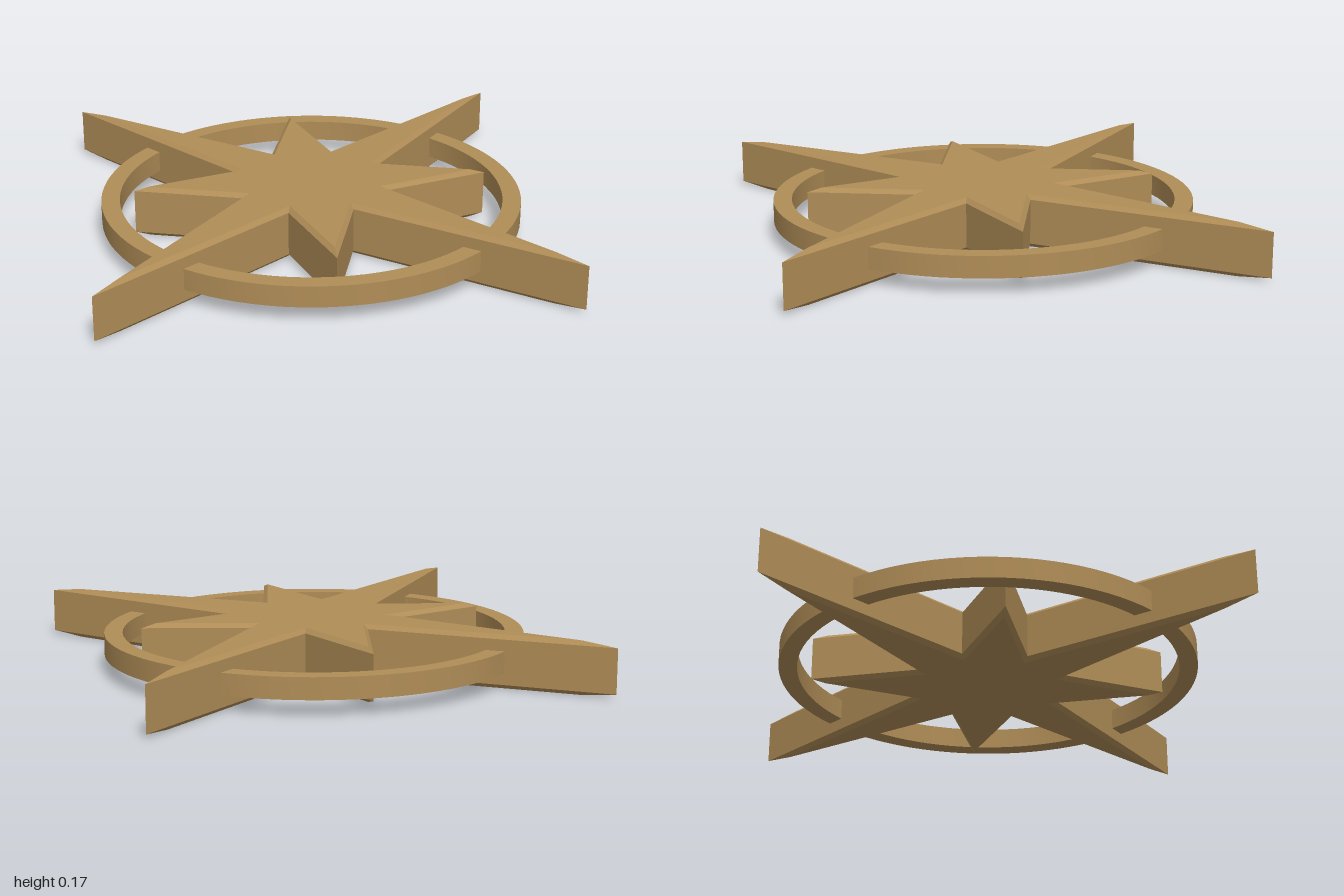
import * as THREE from 'three';
import { toCreasedNormals } from 'three/addons/utils/BufferGeometryUtils.js';

const HEIGHT = 0.166, BEVEL = 0.013;

// Eight-pointed outline: long cardinal tips, short diagonal tips, notches between
function starOutline(longTip, shortTip, notchFar, notchNear) {
  const points = [];
  for (let i = 0; i < 4; i++) {
    const quarter = [[longTip, 0], [notchFar, notchNear], [shortTip, shortTip], [notchNear, notchFar]];
    for (const [x, y] of quarter) {
      points.push(new THREE.Vector2(x, y).rotateAround(new THREE.Vector2(), i * Math.PI / 2));
    }
  }
  return points;
}

// Extruded star whose top and bottom layers are pulled in to a mitred bevel
function starGeometry() {
  const outer = starOutline(1, 0.395, 0.232, 0.09);
  const inset = starOutline(0.89, 0.363, 0.211, 0.079);
  const geometry = new THREE.ExtrudeGeometry(new THREE.Shape(outer), { depth: 3, steps: 3, bevelEnabled: false });
  const heights = [0, BEVEL, HEIGHT - BEVEL, HEIGHT];
  const pos = geometry.attributes.position;
  const v = new THREE.Vector2();
  for (let i = 0; i < pos.count; i++) {
    const layer = Math.round(pos.getZ(i));
    v.set(pos.getX(i), pos.getY(i));
    const corner = outer.findIndex((p) => p.distanceTo(v) < 1e-3);
    const target = layer === 0 || layer === 3 ? inset[corner] : outer[corner];
    pos.setXYZ(i, target.x, target.y, heights[layer]);
  }
  geometry.rotateX(-Math.PI / 2);
  geometry.computeVertexNormals();
  return geometry;
}

// Flat band of square section, smooth around its circumference
function ringGeometry(inner, outer, bottom, top) {
  const profile = [[inner, bottom], [outer, bottom], [outer, top], [inner, top], [inner, bottom]];
  const lathe = new THREE.LatheGeometry(profile.map(([r, y]) => new THREE.Vector2(r, y)), 96);
  return toCreasedNormals(lathe, Math.PI / 6);
}

export function createModel() {
  const model = new THREE.Group();
  model.name = 'compassRose';
  const bronze = new THREE.MeshStandardMaterial({ color: 0xb08d57 });

  const star = new THREE.Mesh(starGeometry(), bronze);
  star.name = 'star';
  const ring = new THREE.Mesh(ringGeometry(0.605, 0.663, 0.05, 0.117), bronze);
  ring.name = 'ring';

  model.add(star, ring);
  return model;
}
